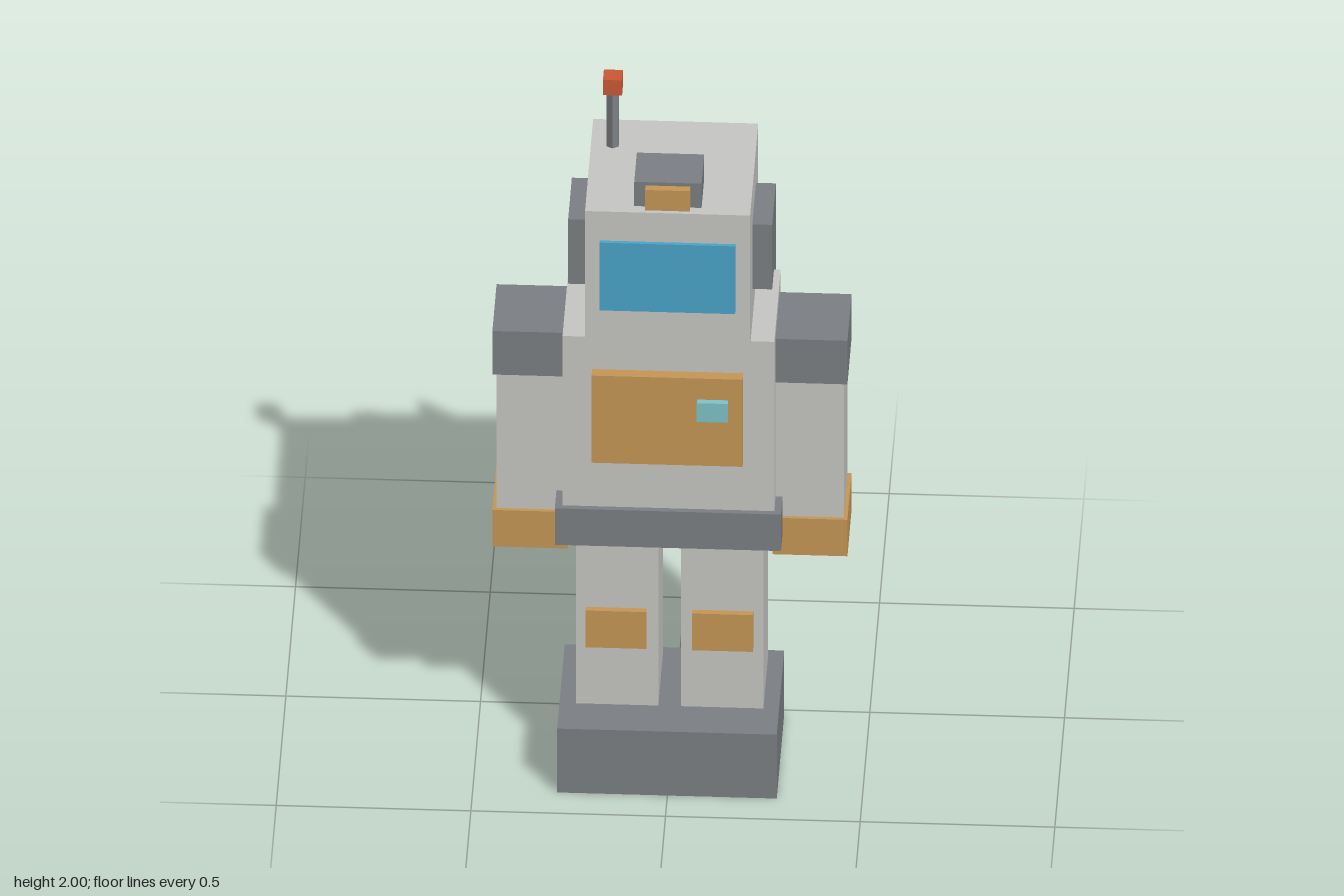
import * as THREE from 'three';

const mat = (name, color) => {
  const m = new THREE.MeshStandardMaterial({ color });
  m.name = name;
  return m;
};

export function createModel() {
  const shell = mat('light grey shell', 0xc8c8c5);
  const dark = mat('dark grey', 0x7d8185);
  const orange = mat('orange', 0xc89856);
  const tan = mat('tan', 0xc89a73);
  const blue = mat('screen blue', 0x4ba6cb);
  const teal = mat('teal', 0x80c4cb);
  const red = mat('red', 0xcb5a35);

  const root = new THREE.Group();
  root.name = 'robot';

  const group = (name) => {
    const g = new THREE.Group();
    g.name = name;
    root.add(g);
    return g;
  };

  // Box given by its extents on each axis
  const box = (parent, name, m, [x0, x1], [y0, y1], [z0, z1]) => {
    const mesh = new THREE.Mesh(new THREE.BoxGeometry(x1 - x0, y1 - y0, z1 - z0), m);
    mesh.position.set((x0 + x1) / 2, (y0 + y1) / 2, (z0 + z1) / 2);
    mesh.name = name;
    parent.add(mesh);
    return mesh;
  };

  // Faceted cylinder or cone standing on y0
  const prism = (parent, name, m, rTop, rBottom, sides, x, [y0, y1], z, turn = 0) => {
    let geo = new THREE.CylinderGeometry(rTop, rBottom, y1 - y0, sides).toNonIndexed();
    geo.computeVertexNormals();
    const mesh = new THREE.Mesh(geo, m);
    mesh.position.set(x, (y0 + y1) / 2, z);
    mesh.rotation.y = turn;
    mesh.name = name;
    parent.add(mesh);
    return mesh;
  };

  // Head with screen, lamp and antenna
  const head = group('head');
  box(head, 'headShell', shell, [-0.213, 0.211], [1.377, 1.785], [-0.046, 0.375]);
  box(head, 'faceScreen', blue, [-0.175, 0.173], [1.485, 1.695], [0.375, 0.385]);
  box(head, 'lampHousing', dark, [-0.088, 0.085], [1.785, 1.86], [0.212, 0.346]);
  box(head, 'lampLens', orange, [-0.059, 0.056], [1.787, 1.85], [0.346, 0.367]);
  prism(head, 'antennaRod', dark, 0.018, 0.018, 6, -0.157, [1.78, 1.96], 0.068);
  box(head, 'antennaTip', red, [-0.181, -0.132], [1.953, 2.0], [0.043, 0.091]);
  prism(head, 'neck', orange, 0.045, 0.045, 8, 0, [1.36, 1.38], 0.165);

  // Torso with chest panel and belt
  const torso = group('torso');
  box(torso, 'torsoShell', shell, [-0.273, 0.271], [0.74, 1.365], [0, 0.33]);
  box(torso, 'chestPanel', orange, [-0.197, 0.191], [0.995, 1.265], [0.33, 0.36]);
  box(torso, 'chestButton', teal, [0.074, 0.154], [1.142, 1.2], [0.36, 0.377]);
  box(torso, 'belt', dark, [-0.292, 0.289], [0.727, 0.84], [-0.015, 0.345]);

  // Mirrored ears, arms and legs
  for (const s of [1, -1]) {
    const side = s > 0 ? 'left' : 'right';
    const span = (a, b) => (s > 0 ? [a, b] : [-b, -a]);
    box(head, side + 'Ear', dark, span(0.21, 0.262), [1.48, 1.68], [0.07, 0.26]);

    const arm = group(side + 'Arm');
    box(arm, side + 'Shoulder', dark, span(0.27, 0.456), [1.2, 1.335], [0.058, 0.272]);
    box(arm, side + 'ArmShell', shell, span(0.27, 0.446), [0.78, 1.2], [0.068, 0.262]);
    box(arm, side + 'Hand', orange, span(0.263, 0.456), [0.667, 0.78], [0.058, 0.272]);

    const leg = group(side + 'Leg');
    box(leg, side + 'LegShell', shell, span(0.029, 0.241), [0.2, 0.73], [0.04, 0.29]);
    box(leg, side + 'KneePad', orange, span(0.059, 0.215), [0.386, 0.5], [0.29, 0.307]);
  }

  // One-piece foot block
  box(root, 'feet', dark, [-0.283, 0.281], [0, 0.198], [0.02, 0.405]);

  // Backpack with controls and a cone sunk into its top rear edge
  const pack = group('backpack');
  box(pack, 'packMount', dark, [-0.223, 0.221], [0.803, 1.345], [-0.118, 0]);
  box(pack, 'packBody', dark, [-0.243, 0.241], [0.755, 1.357], [-0.37, -0.118]);
  box(pack, 'tanButton', tan, [0.05, 0.184], [0.85, 0.947], [-0.406, -0.37]);
  box(pack, 'tealButton', teal, [-0.195, -0.08], [0.823, 0.945], [-0.406, -0.37]);
  prism(pack, 'packCone', orange, 0, 0.089, 8, 0, [1.24, 1.527], -0.322, Math.PI / 8);

  return root;
}
